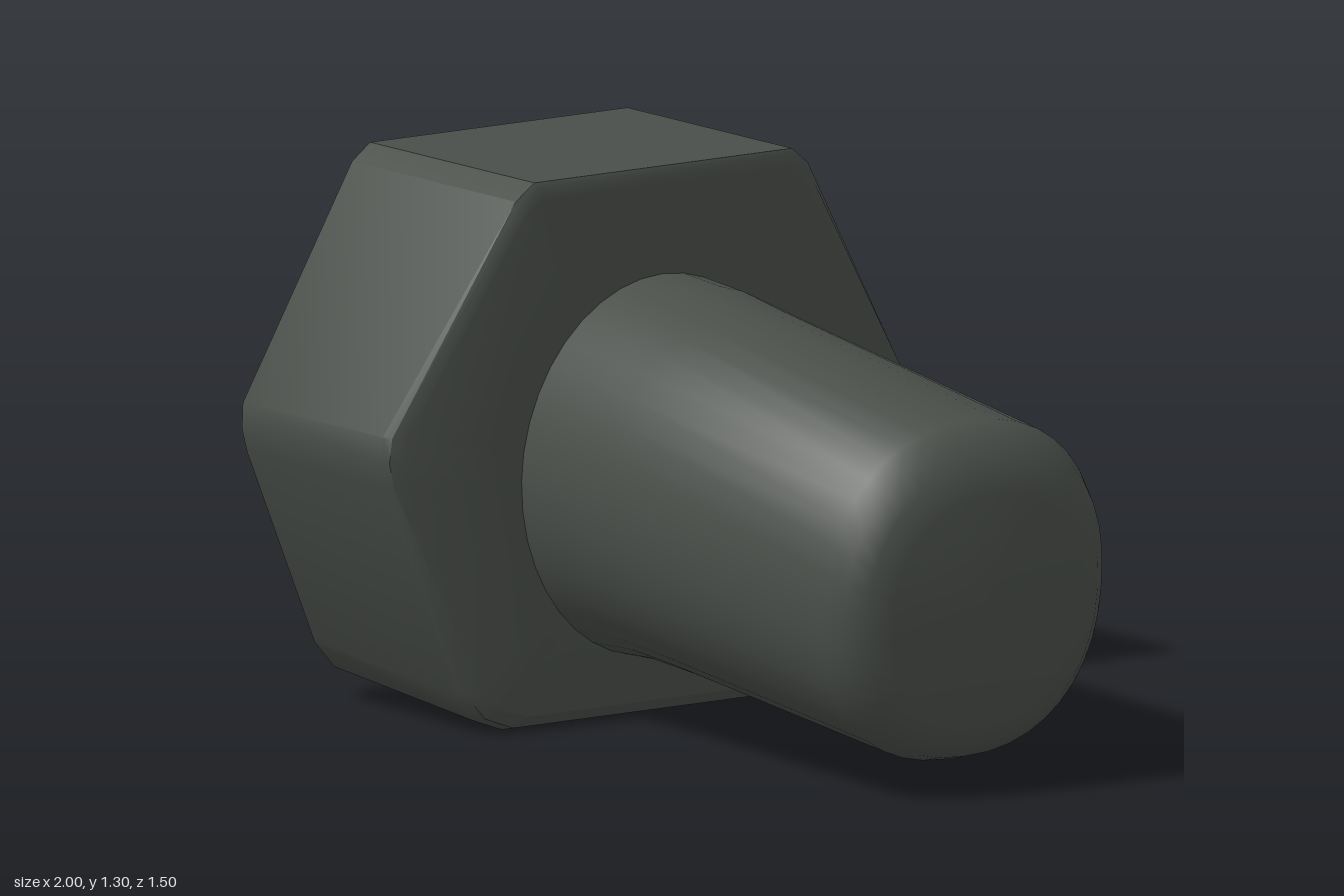
import * as THREE from 'three';
import { toCreasedNormals } from 'three/addons/utils/BufferGeometryUtils.js';

// Skin closed rings of [x, y, z] points, ordered along +x, and cap both ends
function loft(rings, crease) {
  const n = rings[0].length, pos = rings.flat(2), index = [];
  for (let r = 0; r < rings.length - 1; r++) {
    for (let i = 0; i < n; i++) {
      const a = r * n + i, b = r * n + (i + 1) % n;
      index.push(a, b, b + n, a, b + n, a + n);
    }
  }
  [0, rings.length - 1].forEach((r) => {
    const centre = pos.length / 3;
    for (let k = 0; k < 3; k++) pos.push(rings[r].reduce((s, p) => s + p[k], 0) / n);
    for (let i = 0; i < n; i++) {
      const a = r * n + i, b = r * n + (i + 1) % n;
      if (r === 0) index.push(centre, b, a);
      else index.push(centre, a, b);
    }
  });
  const geometry = new THREE.BufferGeometry();
  geometry.setAttribute('position', new THREE.Float32BufferAttribute(pos, 3));
  geometry.setIndex(index);
  return toCreasedNormals(geometry, crease);
}

// Hexagon with softened corners, [y, z], mirrored across z
const half = [[1.3, 0.37], [1.26, 0.42], [0.73, 0.745], [0.67, 0.75], [0.61, 0.735],
  [0.1, 0.53], [0.03, 0.47], [0, 0.39]];
const outline = [...half, ...half.slice().reverse().map(([y, z]) => [y, -z])];

// The two end faces lean and fall back toward the side corners
const frontX = (y, z) => -0.335 + 0.038 * y - Math.max(0, Math.abs(z) - 0.4) * 0.11;
const backX = (y, z) => -1 + Math.max(0, y - 0.75) * 0.1 + Math.max(0, Math.abs(z) - 0.48) * 0.17;

function headRing(scale, xAt) {
  return outline.map(([y0, z0]) => {
    const y = 0.6 + (y0 - 0.6) * scale, z = z0 * scale;
    const x = xAt(y, z);
    const lift = Math.max(0, 1 - y / 0.66) * 0.09 * Math.max(0, -0.4 - x);
    return [x, y + lift, z];
  });
}

// Oval shaft ring through a top and a bottom point [x, y]
function shaftRing(top, bottom, halfWidth, power) {
  const n = 40, ring = [];
  for (let i = 0; i < n; i++) {
    const a = (i / n) * Math.PI * 2, c = Math.cos(a), s = Math.sin(a);
    const t = 0.5 + 0.5 * Math.sign(c) * Math.abs(c) ** power;
    ring.push([
      bottom[0] + (top[0] - bottom[0]) * t,
      bottom[1] + (top[1] - bottom[1]) * t,
      halfWidth * Math.sign(s) * Math.abs(s) ** power,
    ]);
  }
  return ring;
}

export function createModel() {
  const group = new THREE.Group();
  const darkSteel = new THREE.MeshStandardMaterial({ color: 0x4a4f4a });
  darkSteel.name = 'darkSteel';

  // Hexagonal head
  const bevel = (y) => 0.06 - 0.04 * y;
  const head = new THREE.Mesh(loft([
    headRing(0.6, backX),
    headRing(0.88, backX),
    headRing(0.95, (y, z) => backX(y, z) + 0.01),
    headRing(1, (y, z) => backX(y, z) + 0.04 * (1.3 - y) + 0.01),
    headRing(1, (y, z) => frontX(y, z) - bevel(y)),
    headRing(0.985, (y, z) => frontX(y, z) - bevel(y) * 0.35),
    headRing(0.94, frontX),
    headRing(0.6, frontX),
  ], 0.6), darkSteel);
  head.name = 'hexHead';

  // Tapering, slightly drooping shaft with a rounded tip
  const shaft = new THREE.Mesh(loft([
    shaftRing([-0.36, 1.05], [-0.4, 0.14], 0.39, 1),
    shaftRing([-0.15, 1.035], [-0.18, 0.15], 0.39, 1),
    shaftRing([0, 1.01], [0, 0.14], 0.39, 0.98),
    shaftRing([0.91, 0.88], [0.82, 0.07], 0.39, 0.9),
    shaftRing([0.95, 0.845], [0.88, 0.085], 0.37, 0.9),
    shaftRing([0.985, 0.79], [0.92, 0.12], 0.33, 0.9),
    shaftRing([1, 0.72], [0.937, 0.17], 0.27, 0.9),
  ], 0.7), darkSteel);
  shaft.name = 'shaft';

  group.add(head, shaft);
  return group;
}
